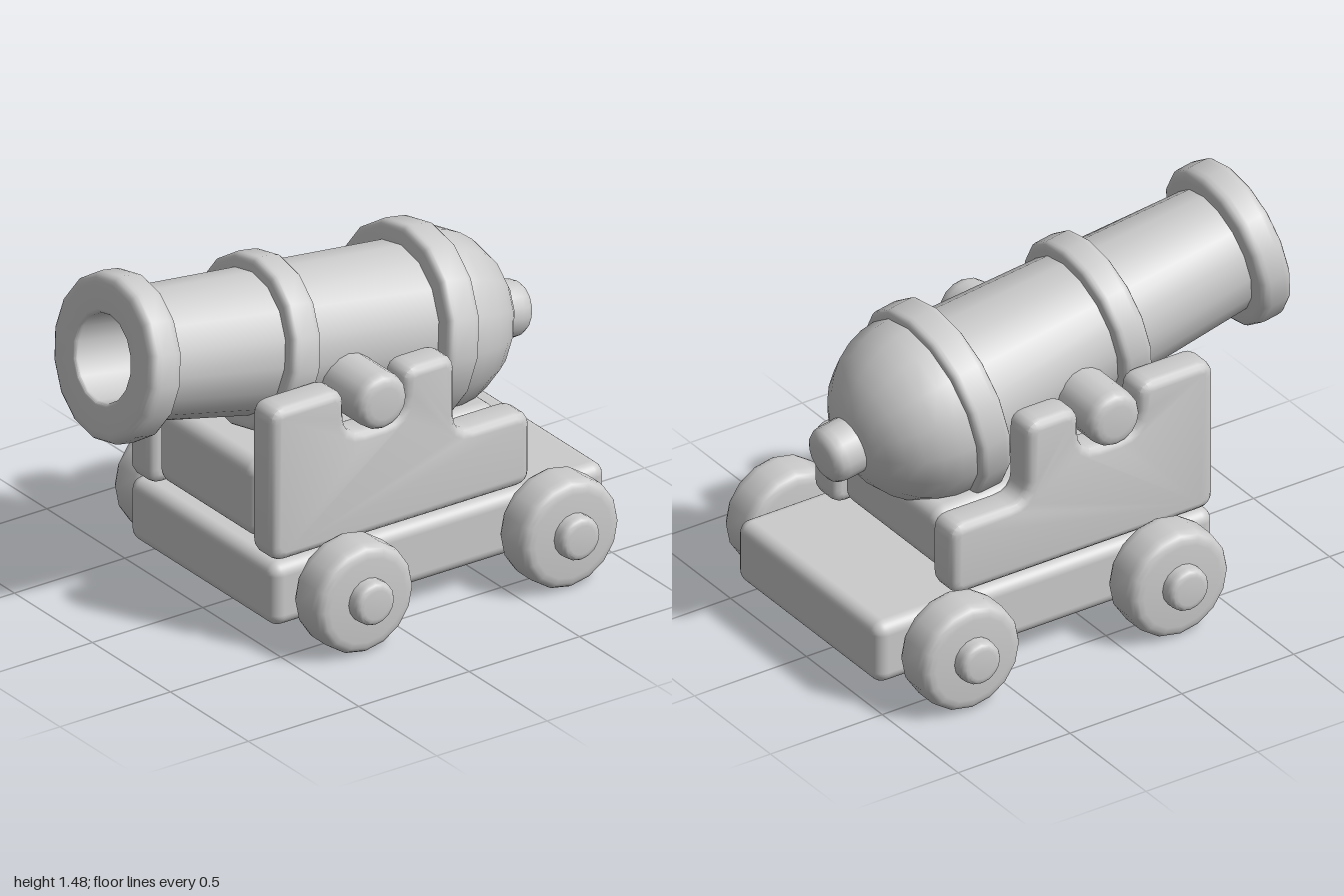
import * as THREE from 'three';
import { toCreasedNormals } from 'three/addons/utils/BufferGeometryUtils.js';
import { RoundedBoxGeometry } from 'three/addons/geometries/RoundedBoxGeometry.js';

const material = new THREE.MeshStandardMaterial({ color: 0xcccccc });
const SIDES = 16;

function add(parent, name, geometry, x = 0, y = 0, z = 0) {
  const mesh = new THREE.Mesh(geometry, material);
  mesh.name = name;
  mesh.position.set(x, y, z);
  parent.add(mesh);
  return mesh;
}

// Outline through [x, y, cornerRadius] points, each corner softened by an arc
function soften(points, closed) {
  const out = [];
  const n = points.length;
  points.forEach(([x, y, r = 0], i) => {
    const p = new THREE.Vector2(x, y);
    if (!r || (!closed && (i === 0 || i === n - 1))) return out.push(p);
    const toward = ([qx, qy]) => new THREE.Vector2(qx, qy).sub(p).setLength(r).add(p);
    const a = toward(points[(i + n - 1) % n]);
    const b = toward(points[(i + 1) % n]);
    out.push(...new THREE.QuadraticBezierCurve(a, p, b).getPoints(4));
  });
  return out;
}

const lathe = (points) => toCreasedNormals(new THREE.LatheGeometry(soften(points, false), SIDES), 0.6);

// Solid cylinder with softened rims, lying along x
function softCylinder(radius, length, bevel) {
  const h = length / 2;
  return lathe([[0, -h], [radius, -h, bevel], [radius, h, bevel], [0, h]]).rotateZ(-Math.PI / 2);
}

function makeBarrel() {
  const barrel = new THREE.Group();
  barrel.name = 'barrel';
  // Local y runs along the bore; the muzzle face is at y = 0
  add(barrel, 'tube', lathe([
    [0.2, -1.42], [0.312, -1.33], [0.25, -0.13], [0.25, -0.12],
  ]));
  add(barrel, 'muzzle', lathe([
    [0, -0.7], [0.17, -0.7], [0.17, 0, 0.015], [0.325, 0, 0.04], [0.325, -0.14, 0.04], [0.24, -0.14],
  ].reverse()));
  for (const [name, radius, from, to] of [['middleBand', 0.335, -0.77, -0.64], ['breechBand', 0.39, -1.46, -1.32]]) {
    add(barrel, name, lathe([[0.22, from], [radius, from, 0.03], [radius, to, 0.03], [0.22, to]]));
  }
  const breech = new THREE.SphereGeometry(0.36, SIDES, 8, 0, Math.PI * 2, Math.PI / 2, Math.PI / 2);
  add(barrel, 'breech', breech, 0, -1.45, 0);
  add(barrel, 'knob', lathe([[0, -1.92], [0.112, -1.92, 0.06], [0.112, -1.76, 0.03], [0, -1.74]]));
  barrel.position.set(0, 1.165, 0.955);
  barrel.rotation.x = THREE.MathUtils.degToRad(80);
  return barrel;
}

// Stepped cheek plate with a notch for the trunnion; outline is in (-z, y)
function cheekGeometry() {
  const r = 0.06;
  const outline = soften([
    [-0.51, 0.37, r], [0.66, 0.37, r], [0.66, 0.67, r], [0.32, 0.67, 0.08],
    [0.32, 1.0, r], [0.09, 1.0, r], [0.09, 0.8, 0.09], [-0.18, 0.8, 0.09],
    [-0.18, 1.0, r], [-0.51, 1.0, r],
  ], true);
  const bevel = 0.035;
  const geometry = new THREE.ExtrudeGeometry(new THREE.Shape(outline), {
    depth: 0.145 - 2 * bevel, bevelEnabled: true, bevelSize: bevel,
    bevelThickness: bevel, bevelOffset: -bevel, bevelSegments: 3,
  });
  geometry.translate(0, 0, bevel - 0.0725).rotateY(Math.PI / 2);
  return toCreasedNormals(geometry, 0.6);
}

// Block between the cheeks, its top falling slightly toward the rear
function bedGeometry() {
  const geometry = new RoundedBoxGeometry(0.64, 0.32, 1.12, 4, 0.06);
  const p = geometry.attributes.position;
  for (let i = 0; i < p.count; i++) {
    if (p.getY(i) > 0) p.setY(i, p.getY(i) - 0.07 * (0.5 - p.getZ(i) / 1.12));
  }
  return geometry;
}

export function createModel() {
  const model = new THREE.Group();
  model.name = 'cannon';

  // Carriage
  add(model, 'base', new RoundedBoxGeometry(0.94, 0.26, 1.51, 4, 0.05), 0, 0.23, -0.245);
  add(model, 'bed', bedGeometry(), 0, 0.555, -0.07);
  const cheek = cheekGeometry();
  for (const side of [-1, 1]) add(model, 'cheek', cheek, side * 0.3925, 0, 0);

  // Axles and wheels
  const axle = softCylinder(0.088, 1.46, 0.03);
  const wheel = softCylinder(0.221, 0.185, 0.05);
  for (const z of [0.225, -0.705]) {
    add(model, 'axle', axle, 0, 0.23, z);
    for (const side of [-1, 1]) add(model, 'wheel', wheel, side * 0.578, 0.223, z);
  }

  // Gun
  add(model, 'trunnion', softCylinder(0.113, 1.04, 0.05), 0, 0.923, 0.04);
  model.add(makeBarrel());
  return model;
}
